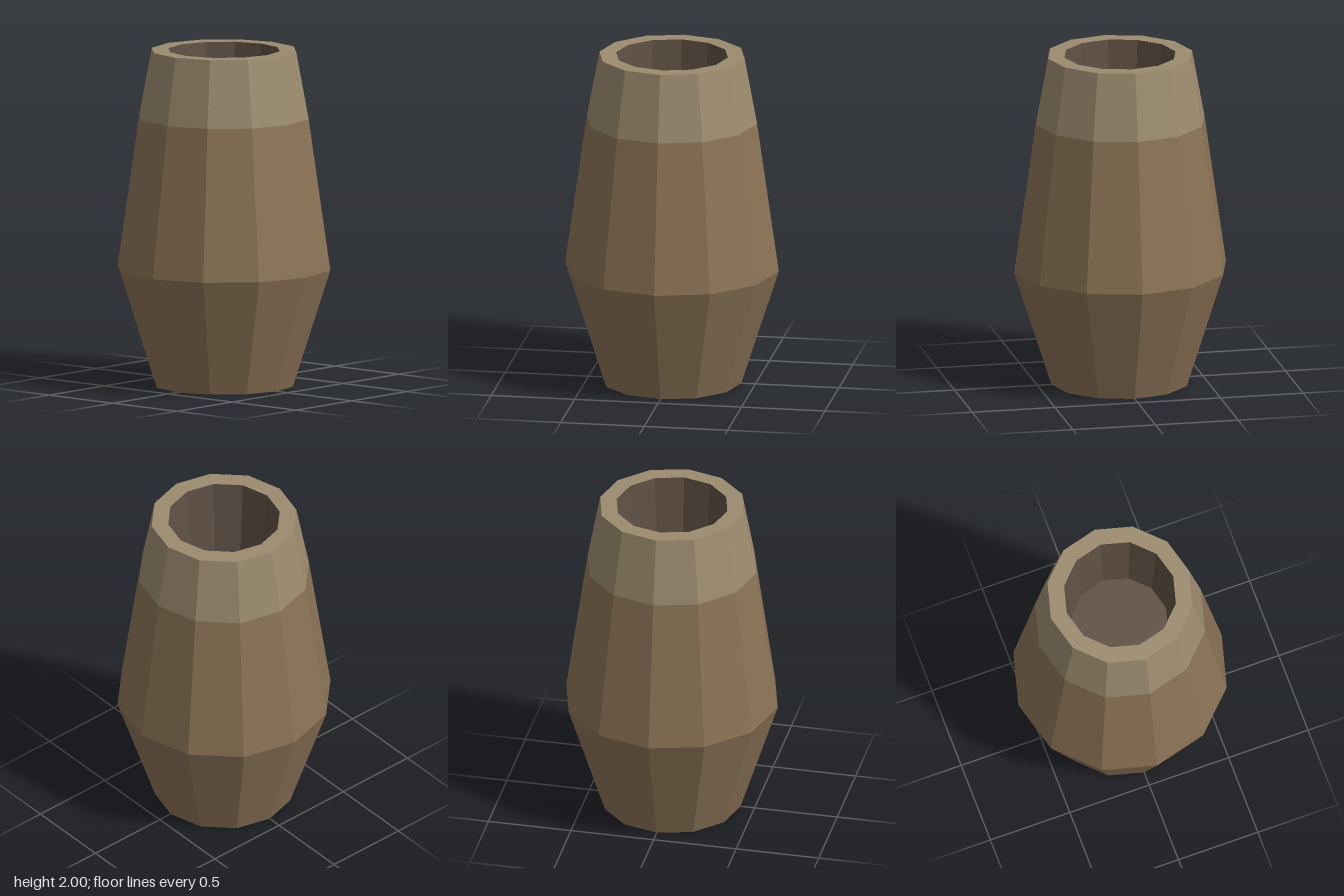
import * as THREE from 'three';

const SIDES = 12;

// Faceted ring wall or cap turned from a short [radius, y] profile
function turned(name, profile, color) {
  const points = profile.map(([r, y]) => new THREE.Vector2(r, y));
  const geometry = new THREE.LatheGeometry(points, SIDES);
  const material = new THREE.MeshStandardMaterial({ color, flatShading: true, side: THREE.DoubleSide });
  const mesh = new THREE.Mesh(geometry, material);
  mesh.name = name;
  return mesh;
}

export function createModel() {
  const group = new THREE.Group();
  group.name = 'vase';

  // Closed base, flare to the belly and long taper up to the neck
  group.add(turned('body', [[0, 0], [0.415, 0], [0.64, 0.7], [0.51, 1.6]], 0x8b7355));

  // Lighter neck band with the flat rim
  group.add(turned('neckAndRim', [[0.51, 1.6], [0.435, 2], [0.335, 2]], 0x9c8b6e));

  // Dark hollow narrowing down to its floor
  group.add(turned('hollow', [[0.335, 2], [0.29, 1.5], [0, 1.5]], 0x5f5044));

  return group;
}
